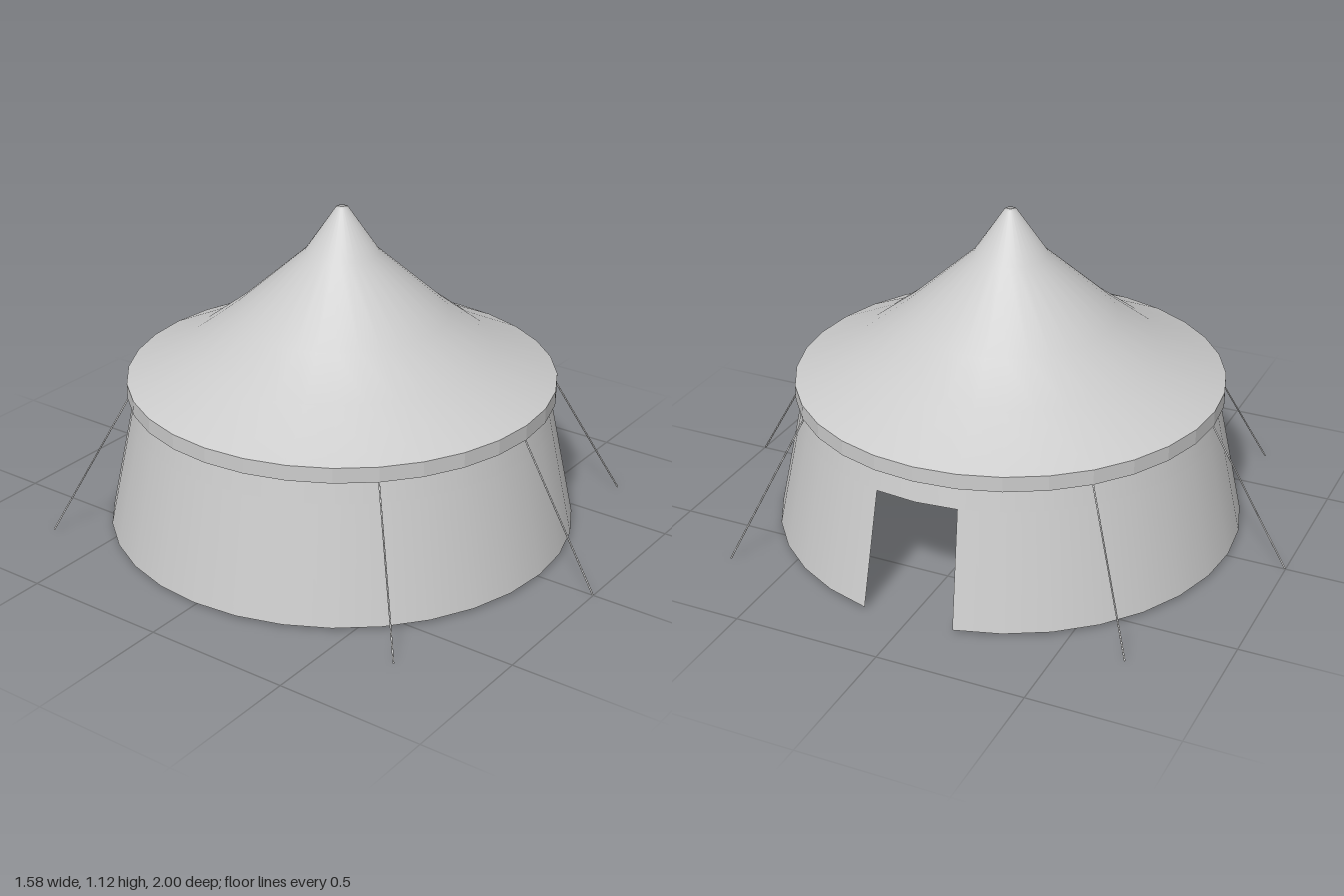
import * as THREE from 'three';

const SIDES = 32;
const STEP = (Math.PI * 2) / SIDES;

export function createModel() {
  const tent = new THREE.Group();
  tent.name = 'roundTent';
  const cloth = new THREE.MeshStandardMaterial({ color: 0xcccccc, side: THREE.DoubleSide });
  const facetedCloth = new THREE.MeshStandardMaterial({ color: 0xcccccc, side: THREE.DoubleSide, flatShading: true });

  const add = (name, geometry, material = cloth) => {
    const mesh = new THREE.Mesh(geometry, material);
    mesh.name = name;
    tent.add(mesh);
    return mesh;
  };

  // Revolve a profile of [radius, height] pairs, listed from bottom to top
  const revolve = (profile, segments = SIDES, start = 0) =>
    new THREE.LatheGeometry(
      profile.map(([r, y]) => new THREE.Vector2(r, y)),
      segments, start, segments * STEP
    );

  // Sloping wall, left open for a doorway two panels wide on the +x side
  const foot = [0.8, 0.008], lintel = [0.718, 0.4], top = [0.702, 0.48];
  add('wall', revolve([foot, lintel], SIDES - 2, Math.PI / 2 + STEP));
  add('wallTop', revolve([lintel, top]));

  // Flared roof with a small blunt tip
  add('roof', revolve([
    [0.727, 0.53], [0.51, 0.635], [0.36, 0.75], [0.125, 0.96], [0.02, 1.115], [0, 1.115],
  ]));

  // Faceted valance hanging from the eaves
  add('valance', revolve([[0.727, 0.478], [0.727, 0.53]]), facetedCloth);

  // Guy ropes: front, back and the four diagonals
  const up = new THREE.Vector3(0, 1, 0);
  for (const eighth of [0, 1, 3, 4, 5, 7]) {
    const angle = (eighth * Math.PI) / 4;
    const at = (r, y) => new THREE.Vector3(r * Math.sin(angle), y, r * Math.cos(angle));
    const peg = at(0.998, 0.001), eave = at(0.722, 0.48);
    const along = eave.clone().sub(peg);
    const rope = add('guyRope', new THREE.CylinderGeometry(0.003, 0.003, along.length(), 6));
    rope.position.copy(peg).add(eave).multiplyScalar(0.5);
    rope.quaternion.setFromUnitVectors(up, along.normalize());
  }
  return tent;
}
